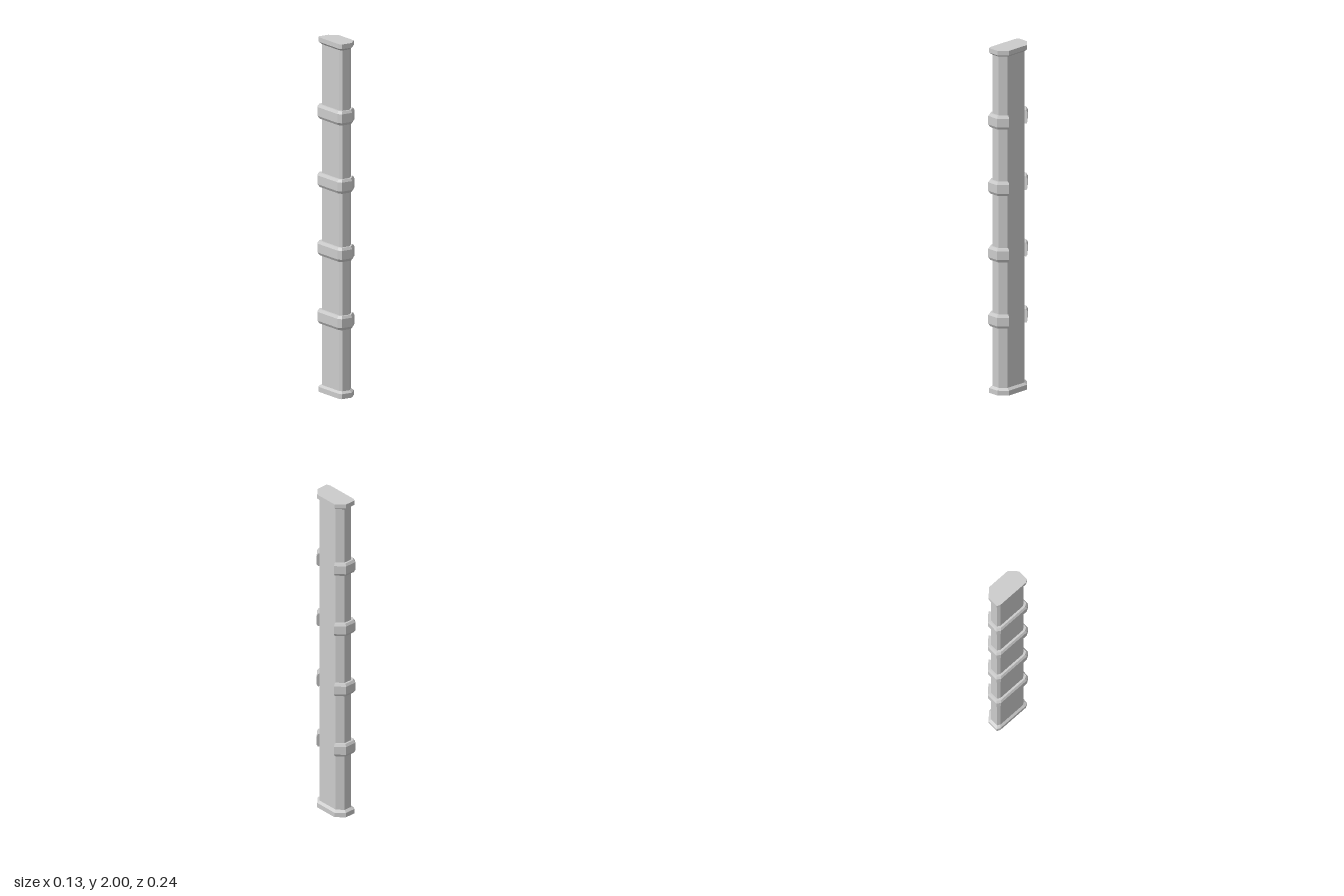
import * as THREE from 'three';

const material = new THREE.MeshStandardMaterial({ color: 0xcccccc, flatShading: true });

// Full outline (x, z) from its front half, mirrored to the back
const outline = (half) => [...half, ...half.map(([x, z]) => [x, -z]).reverse()];

const SHAFT = outline([[-0.047, 0.083], [-0.037, 0.1], [0.01, 0.1], [0.045, 0.065]]);
const CAP = outline([[-0.059, 0.095], [-0.05, 0.114], [0.015, 0.114], [0.059, 0.07]]);
const BAND = outline([[-0.067, 0.096], [-0.053, 0.118], [0.016, 0.118], [0.063, 0.071]]);

const level = (points, y) => points.map(([x, z]) => [x, y, z]);

// Skin a row of matching closed sections and close both ends
function loft(name, sections) {
  const positions = [];
  const n = sections[0].length;
  const tri = (a, b, c) => positions.push(...a, ...b, ...c);
  for (let i = 0; i < sections.length - 1; i++) {
    for (let j = 0; j < n; j++) {
      const k = (j + 1) % n;
      const a = sections[i][j], b = sections[i][k];
      const c = sections[i + 1][k], d = sections[i + 1][j];
      tri(a, b, c);
      tri(a, c, d);
    }
  }
  const first = sections[0], last = sections[sections.length - 1];
  for (let j = 1; j < n - 1; j++) {
    tri(first[0], first[j + 1], first[j]);
    tri(last[0], last[j], last[j + 1]);
  }
  const geometry = new THREE.BufferGeometry();
  geometry.setAttribute('position', new THREE.Float32BufferAttribute(positions, 3));
  geometry.computeVertexNormals();
  const mesh = new THREE.Mesh(geometry, material);
  mesh.name = name;
  return mesh;
}

// Bevelled clamp wrapped round the shaft, leaving the +x face open
function clamp(name, y) {
  const profile = [[0, 0.04], [0.55, 0.04], [1, 0.025], [1, -0.025], [0.55, -0.04], [0, -0.04]];
  const path = [4, 5, 6, 7, 0, 1, 2, 3];
  return loft(name, path.map((i) => profile.map(([t, h]) => [
    THREE.MathUtils.lerp(SHAFT[i][0], BAND[i][0], t),
    y + h,
    THREE.MathUtils.lerp(SHAFT[i][1], BAND[i][1], t),
  ])));
}

export function createModel() {
  const group = new THREE.Group();
  group.name = 'pillar';

  // Shaft, with end caps that bevel back into it
  group.add(loft('shaft', [level(SHAFT, 0.02), level(SHAFT, 1.98)]));
  group.add(loft('bottomCap', [level(CAP, 0), level(CAP, 0.028), level(SHAFT, 0.04)]));
  group.add(loft('topCap', [level(SHAFT, 1.962), level(CAP, 1.974), level(CAP, 2)]));

  // Four evenly spaced clamps
  for (let i = 0; i < 4; i++) group.add(clamp(`clamp${i + 1}`, 0.427 + i * 0.385));

  return group;
}
